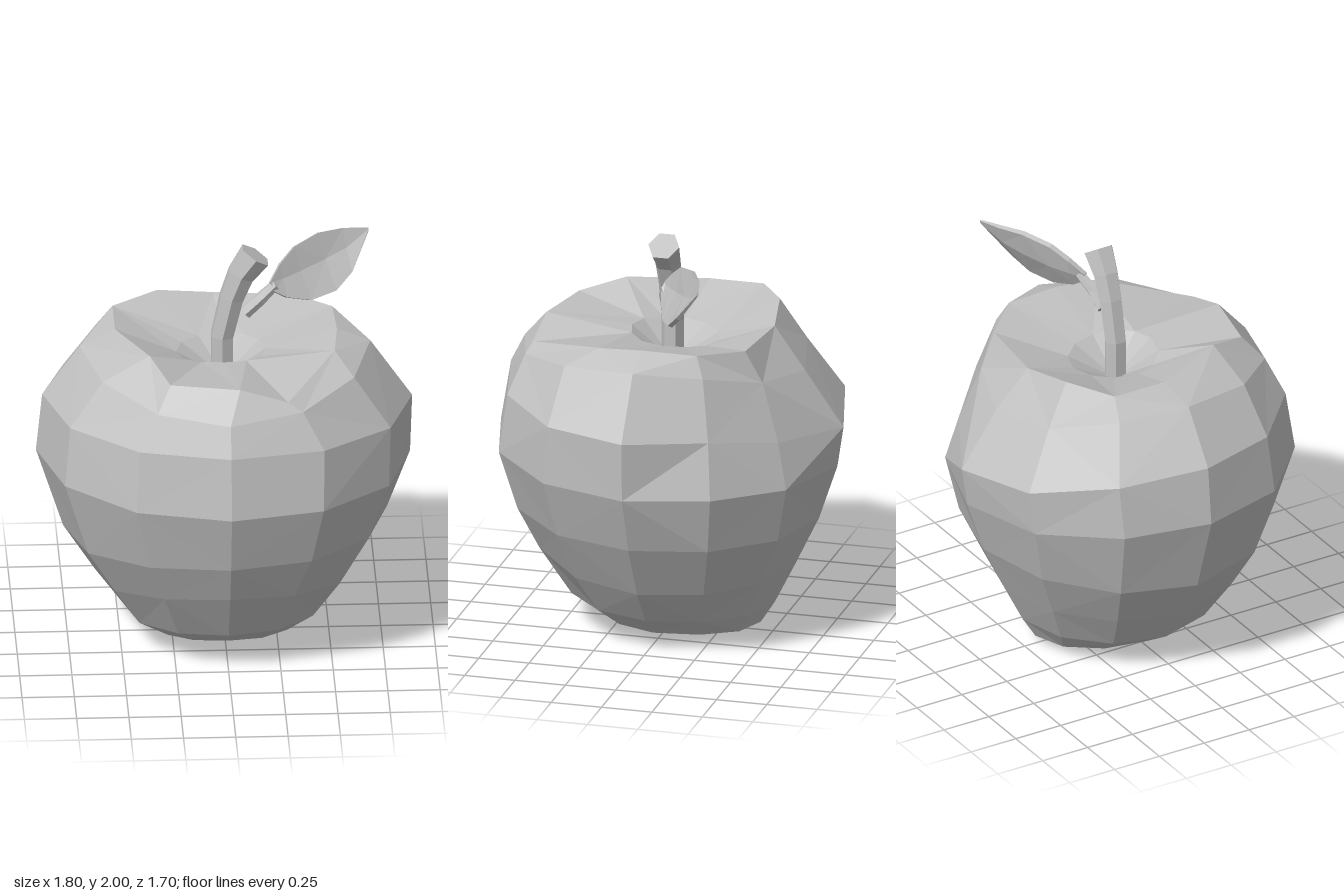
import * as THREE from 'three';

const grey = new THREE.MeshStandardMaterial({ color: 0xc0c0c0 });
grey.name = 'plain grey';

// Faceted skin over a list of rings, closed at both ends.
// Rings run counter-clockwise when seen from the end of the loft.
function loft(name, rings, startPoint, endPoint) {
  const verts = [];
  const tri = (...points) => points.forEach((p) => verts.push(p.x, p.y, p.z));
  const n = rings[0].length;
  const middle = (ring) => ring.reduce((sum, p) => sum.add(p), new THREE.Vector3()).divideScalar(n);
  const first = rings[0];
  const last = rings[rings.length - 1];
  const start = startPoint || middle(first);
  const end = endPoint || middle(last);
  for (let j = 0; j < n; j++) {
    const k = (j + 1) % n;
    tri(start, first[k], first[j]);
    for (let i = 0; i < rings.length - 1; i++) {
      const a = rings[i][j], b = rings[i][k], c = rings[i + 1][k], d = rings[i + 1][j];
      if ((i + j) % 2) { tri(a, b, c); tri(a, c, d); }
      else { tri(a, b, d); tri(b, c, d); }
    }
    tri(end, last[j], last[k]);
  }
  const geometry = new THREE.BufferGeometry();
  geometry.setAttribute('position', new THREE.Float32BufferAttribute(verts, 3));
  geometry.computeVertexNormals();
  const mesh = new THREE.Mesh(geometry, grey);
  mesh.name = name;
  return mesh;
}

// Fruit levels, bottom to top: radius and height towards +x, -x, front and back,
// then how much the back right side is flattened
const levels = [
  [0.18, 0.01, 0.2, 0.02, 0.10, 0.0, 0.25, 0.04, 0],
  [0.34, 0.06, 0.32, 0.04, 0.36, 0.1, 0.44, 0.04, 0],
  [0.48, 0.17, 0.48, 0.14, 0.5, 0.19, 0.51, 0.15, 0],
  [0.62, 0.35, 0.62, 0.33, 0.66, 0.45, 0.61, 0.35, 0],
  [0.78, 0.63, 0.77, 0.56, 0.76, 0.65, 0.73, 0.6, 0],
  [0.89, 0.92, 0.9, 0.96, 0.85, 0.95, 0.82, 0.87, 0.04],
  [0.9, 1.21, 0.87, 1.25, 0.8, 1.25, 0.85, 1.07, 0.16],
  [0.7, 1.5, 0.69, 1.5, 0.73, 1.39, 0.66, 1.34, 0.06],
];
const pit = [0.2, 1.47, 0.23, 1.46, 0.2, 1.49, 0.23, 1.45, 0];
const SIDES = 12;

function fruitRing([rx, yx, lx, yl, fz, yf, bz, yb, dent]) {
  return Array.from({ length: SIDES }, (_, j) => {
    const t = (j / SIDES) * Math.PI * 2;
    const c = Math.cos(t), s = Math.sin(t);
    const scale = c > 0 && s > 0 ? 1 - dent * Math.sin(2 * t) : 1;
    const y = c * c * (c > 0 ? yx : yl) + s * s * (s > 0 ? yb : yf);
    return new THREE.Vector3(scale * c * (c > 0 ? rx : lx), y, -scale * s * (s > 0 ? bz : fz));
  });
}

// Uneven crest around the top hollow, low at the front right
const crest = [
  [0.54, 1.565, 0], [0.53, 1.56, -0.27], [0.35, 1.54, -0.46], [-0.03, 1.54, -0.5],
  [-0.3, 1.58, -0.45], [-0.52, 1.565, -0.31], [-0.52, 1.565, -0.04], [-0.37, 1.59, 0.33],
  [-0.28, 1.53, 0.54], [0.05, 1.53, 0.61], [0.28, 1.46, 0.61], [0.52, 1.55, 0.22],
].map((p) => new THREE.Vector3(...p));

// Six-sided ring across a twig leaning by tilt towards +x
function twigRing([x, y, z, radius, tilt]) {
  return Array.from({ length: 6 }, (_, j) => {
    const t = Math.PI / 6 + (j * Math.PI) / 3;
    const u = radius * Math.cos(t);
    return new THREE.Vector3(
      x + u * Math.cos(tilt), y - u * Math.sin(tilt), z - radius * 0.92 * Math.sin(t));
  });
}

// Leaf section from its upper and lower edge points, slightly cupped along the midrib
function leafRing([ux, uy, uz, lx, ly, lz, half, cup]) {
  const normal = new THREE.Vector3(0.34, 0.42, 0.85).normalize();
  const up = new THREE.Vector3(ux, uy, uz);
  const low = new THREE.Vector3(lx, ly, lz);
  const mid = up.clone().lerp(low, 0.45).addScaledVector(normal, -cup);
  const off = (p, d) => p.clone().addScaledVector(normal, d);
  return [off(up, -half), off(up, half), off(mid, half), off(low, half), off(low, -half), off(mid, -half)];
}

export function createModel() {
  const model = new THREE.Group();
  model.name = 'apple';

  // Fruit body: sides, crest and a shallow top hollow with a pit, dimpled underneath
  model.add(loft('fruit', [...levels.map(fruitRing), crest, fruitRing(pit)],
    new THREE.Vector3(0, 0.1, 0), new THREE.Vector3(0, 1.33, 0)));

  // Curved stem
  model.add(loft('stem', [
    [-0.01, 1.33, 0, 0.06, 0],
    [-0.01, 1.54, 0, 0.06, 0.12],
    [0.035, 1.74, 0, 0.064, 0.3],
    [0.08, 1.86, 0, 0.07, 0.45],
    [0.15, 1.96, 0, 0.083, 0.59],
  ].map(twigRing)));

  // Leaf stalk
  model.add(loft('leafStalk', [
    [0.1, 1.66, 0, 0.035, 0.85],
    [0.17, 1.72, -0.01, 0.032, 0.85],
    [0.25, 1.785, -0.04, 0.026, 0.95],
  ].map(twigRing)));

  // Leaf blade
  model.add(loft('leaf', [
    [0.22, 1.8, -0.03, 0.24, 1.755, -0.02, 0.01, 0],
    [0.27, 1.87, -0.09, 0.3, 1.715, -0.04, 0.012, 0.01],
    [0.34, 1.93, -0.15, 0.42, 1.68, -0.08, 0.012, 0.02],
    [0.46, 1.965, -0.23, 0.54, 1.7, -0.14, 0.012, 0.02],
    [0.58, 1.96, -0.29, 0.62, 1.77, -0.2, 0.01, 0.015],
    [0.705, 1.945, -0.325, 0.705, 1.93, -0.32, 0.004, 0],
  ].map(leafRing)));

  return model;
}
